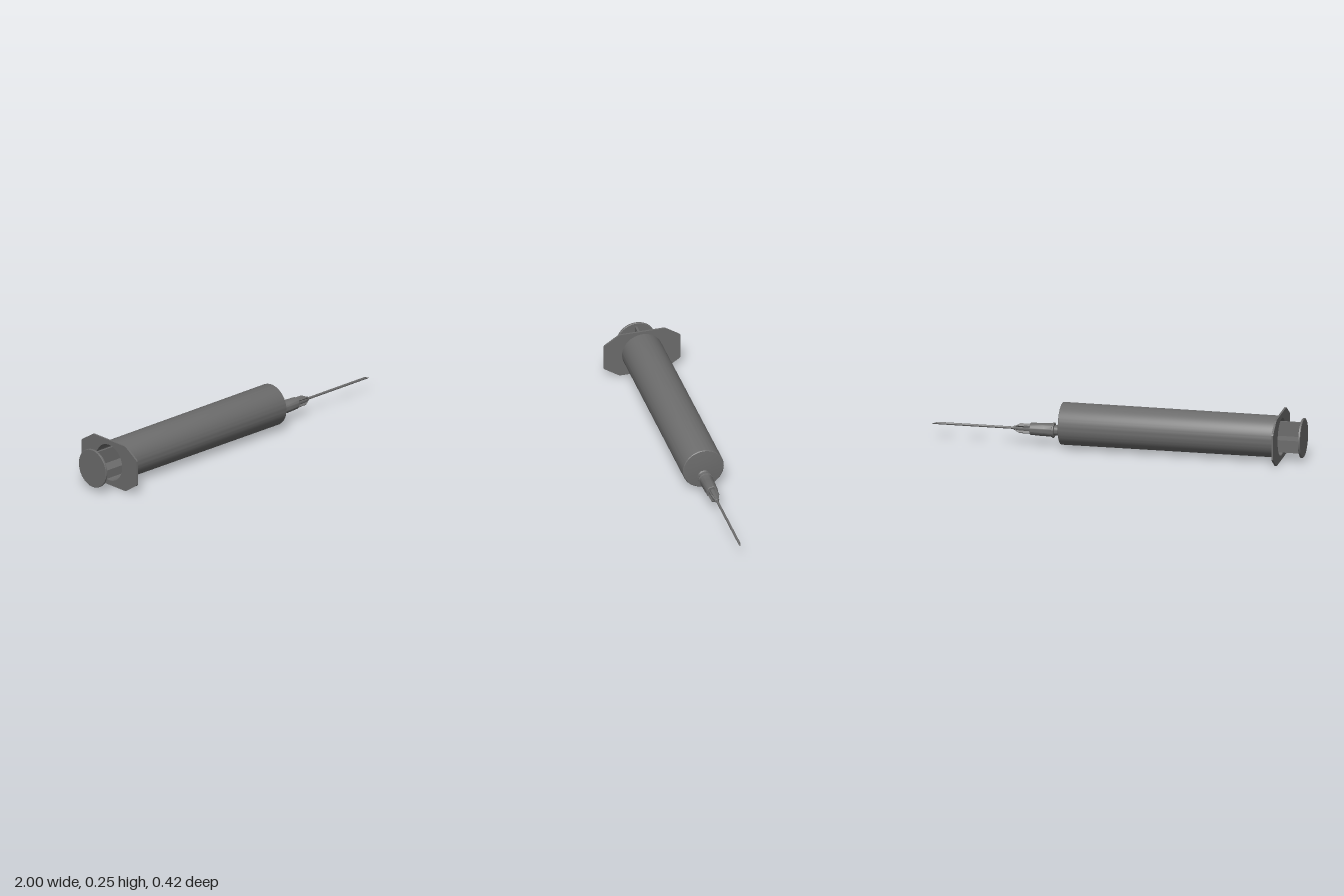
import * as THREE from 'three';
import { toCreasedNormals } from 'three/addons/utils/BufferGeometryUtils.js';

const AXIS = 0.126;        // height of the barrel axis
const NEEDLE_AXIS = 0.085; // the nozzle sits below it

const material = new THREE.MeshStandardMaterial({ color: 0x6c6c6c, side: THREE.DoubleSide });

function add(parent, name, geometry) {
  const mesh = new THREE.Mesh(geometry, material);
  mesh.name = name;
  parent.add(mesh);
  return mesh;
}

// Turned part along x, profile given as [x, radius]
function turned(profile, segments = 64) {
  const points = profile.map(([x, r]) => new THREE.Vector2(r, x));
  const geometry = new THREE.LatheGeometry(points, segments);
  geometry.rotateZ(-Math.PI / 2);
  return toCreasedNormals(geometry, 0.5);
}

// Flat plate along x, outline in x and y, centred in z
function plate(outline, thickness) {
  const shape = new THREE.Shape(outline.map(([x, y]) => new THREE.Vector2(x, y)));
  const geometry = new THREE.ExtrudeGeometry(shape, { depth: thickness, bevelEnabled: false });
  return geometry.translate(0, 0, -thickness / 2);
}

// Octagonal finger flange with the bore through it
function flangeGeometry() {
  const quarter = [[0.118, 0.126], [0.127, 0.124], [0.206, 0.072], [0.21, 0.066]];
  const mirrored = [...quarter].reverse();
  const outline = [
    ...quarter,
    ...mirrored.map(([z, y]) => [z, -y]),
    ...quarter.map(([z, y]) => [-z, -y]),
    ...mirrored.map(([z, y]) => [-z, y]),
  ];
  const shape = new THREE.Shape(outline.map(([z, y]) => new THREE.Vector2(z, y)));
  const bore = new THREE.Path();
  bore.absarc(0, 0, 0.1, 0, Math.PI * 2, true);
  shape.holes.push(bore);
  const geometry = new THREE.ExtrudeGeometry(shape, {
    depth: 0.01, bevelEnabled: false, curveSegments: 48,
  });
  return geometry.rotateY(Math.PI / 2).translate(-0.879, 0, 0);
}

// Hollow needle whose end is cut at a slant, with the point at the bottom
function needleGeometry() {
  const outer = 0.0065;
  const inner = 0.004;
  const start = 0.5;
  const end = 1;
  const points = [[inner, start], [outer, start], [outer, end], [inner, end], [inner, start]];
  const geometry = new THREE.LatheGeometry(points.map(([r, x]) => new THREE.Vector2(r, x)), 24);
  geometry.rotateZ(-Math.PI / 2);
  const position = geometry.attributes.position;
  for (let i = 0; i < position.count; i++) {
    if (position.getX(i) > 0.9) {
      position.setX(i, end - (position.getY(i) + outer) * 2.6);
    }
  }
  return toCreasedNormals(geometry, 0.6);
}

export function createModel() {
  const model = new THREE.Group();
  model.name = 'syringe';

  // Barrel: hollow tube, open at the back
  const body = new THREE.Group();
  body.name = 'barrelAssembly';
  body.position.y = AXIS;
  model.add(body);
  add(body, 'barrel', turned([
    [-0.875, 0.1], [-0.875, 0.1105], [0.294, 0.1125], [0.298, 0.1115], [0.301, 0.108],
    [0.306, 0.06], [0.307, 0], [0.29, 0], [0.29, 0.1], [-0.875, 0.1],
  ], 96));
  add(body, 'fingerFlange', flangeGeometry());

  // Plunger: thumb disc, crossed ribs and piston
  const plunger = new THREE.Group();
  plunger.name = 'plunger';
  body.add(plunger);
  add(plunger, 'thumbDisc', turned([
    [-1, 0], [-1, 0.102], [-0.998, 0.105], [-0.99, 0.105], [-0.988, 0.102], [-0.988, 0],
  ]));
  for (const turn of [0, 1]) {
    const rib = add(plunger, 'plungerRib', plate([
      [-0.99, -0.085], [0.2, -0.085], [0.2, 0.085], [-0.99, 0.085],
    ], 0.012));
    rib.rotation.x = turn * Math.PI / 2;
  }
  add(plunger, 'piston', turned([
    [0.2, 0], [0.2, 0.098], [0.215, 0.098], [0.22, 0.092], [0.245, 0.092],
    [0.25, 0.098], [0.265, 0.098], [0.28, 0.06], [0.285, 0],
  ]));

  // Nozzle and needle, below the barrel axis
  const tip = new THREE.Group();
  tip.name = 'needleAssembly';
  tip.position.y = NEEDLE_AXIS;
  model.add(tip);
  add(tip, 'nozzle', turned([
    [0.295, 0], [0.295, 0.034], [0.306, 0.034], [0.311, 0.028], [0.345, 0.026], [0.345, 0],
  ], 48));
  add(tip, 'needleHub', turned([
    [0.34, 0.024], [0.34, 0.039], [0.342, 0.041], [0.348, 0.041], [0.35, 0.036],
    [0.395, 0.034], [0.398, 0.035], [0.468, 0.032], [0.47, 0.03], [0.47, 0],
  ], 48));
  add(tip, 'hubCore', turned([
    [0.46, 0], [0.46, 0.018], [0.53, 0.016], [0.558, 0.011], [0.56, 0.009], [0.56, 0],
  ], 32));

  // Four diagonal fins around the hub core
  for (let i = 0; i < 4; i++) {
    const fin = add(tip, 'hubFin', plate([
      [0.46, 0.008], [0.55, 0.008], [0.55, 0.014], [0.527, 0.028], [0.46, 0.029],
    ], 0.006));
    fin.rotation.x = Math.PI / 4 + i * Math.PI / 2;
  }
  add(tip, 'needle', needleGeometry());

  return model;
}
